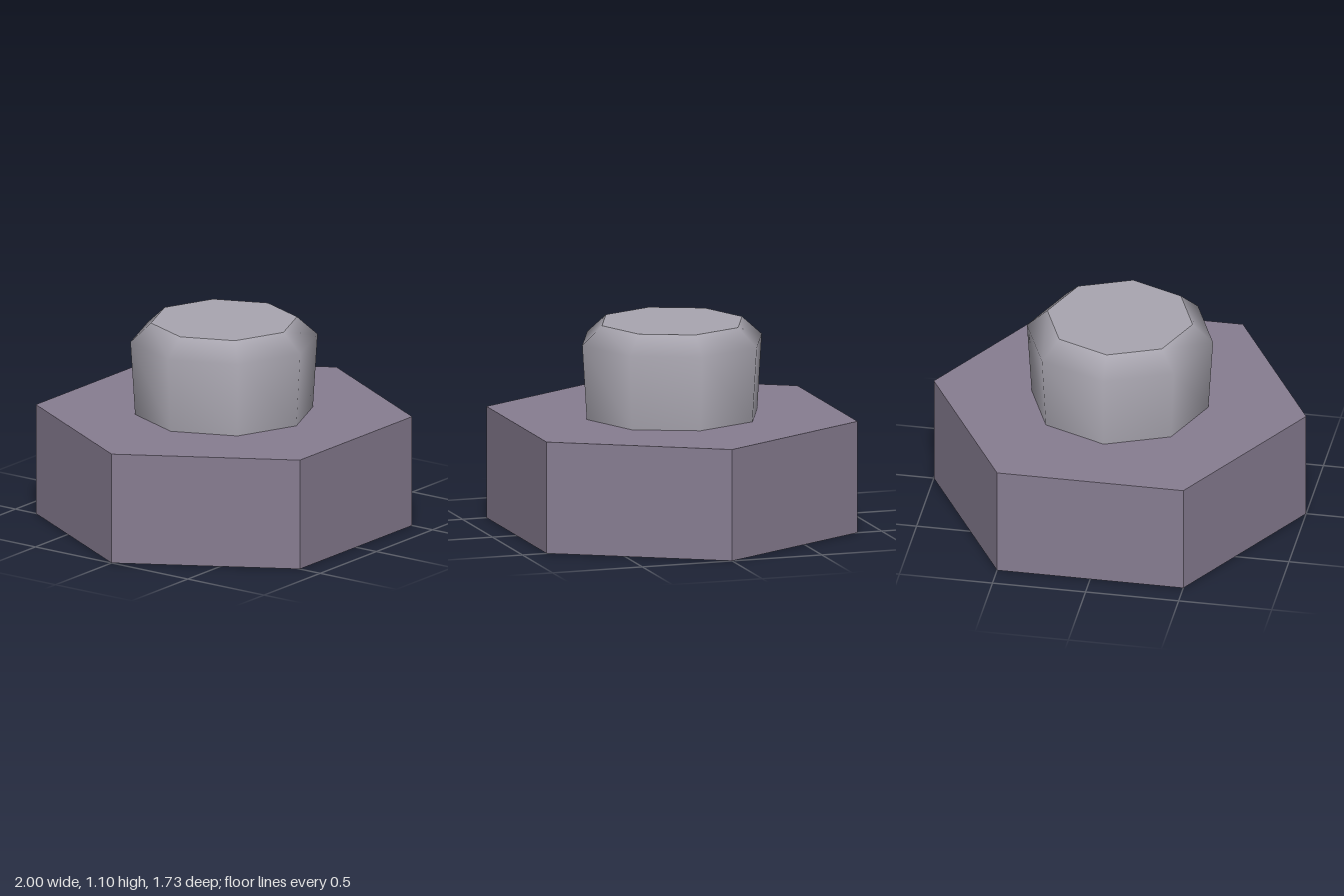
import * as THREE from 'three';

export function createModel() {
  const model = new THREE.Group();
  model.name = 'button';

  const baseMaterial = new THREE.MeshStandardMaterial({ color: 0x877d91 });
  baseMaterial.name = 'purple grey';
  baseMaterial.flatShading = true;
  const knobMaterial = new THREE.MeshStandardMaterial({ color: 0xa9a6b0 });
  knobMaterial.name = 'light grey';

  const add = (name, geometry, material, y = 0) => {
    const mesh = new THREE.Mesh(geometry, material);
    mesh.name = name;
    mesh.position.y = y;
    model.add(mesh);
  };

  // Hexagonal base with corners on the x axis
  add('hexBase', new THREE.CylinderGeometry(1, 1, 0.6, 6, 1, false, Math.PI / 2), baseMaterial, 0.3);

  // Eight-sided knob, smooth over the shoulder, flaring slightly upwards
  const profile = [[0.475, 0.6], [0.5, 1.0], [0.39, 1.1]].map(([r, y]) => new THREE.Vector2(r, y));
  add('knobSide', new THREE.LatheGeometry(profile, 8), knobMaterial);

  // Flat top of the knob
  add('knobTop', new THREE.CircleGeometry(0.39, 8).rotateX(-Math.PI / 2), knobMaterial, 1.1);

  return model;
}
